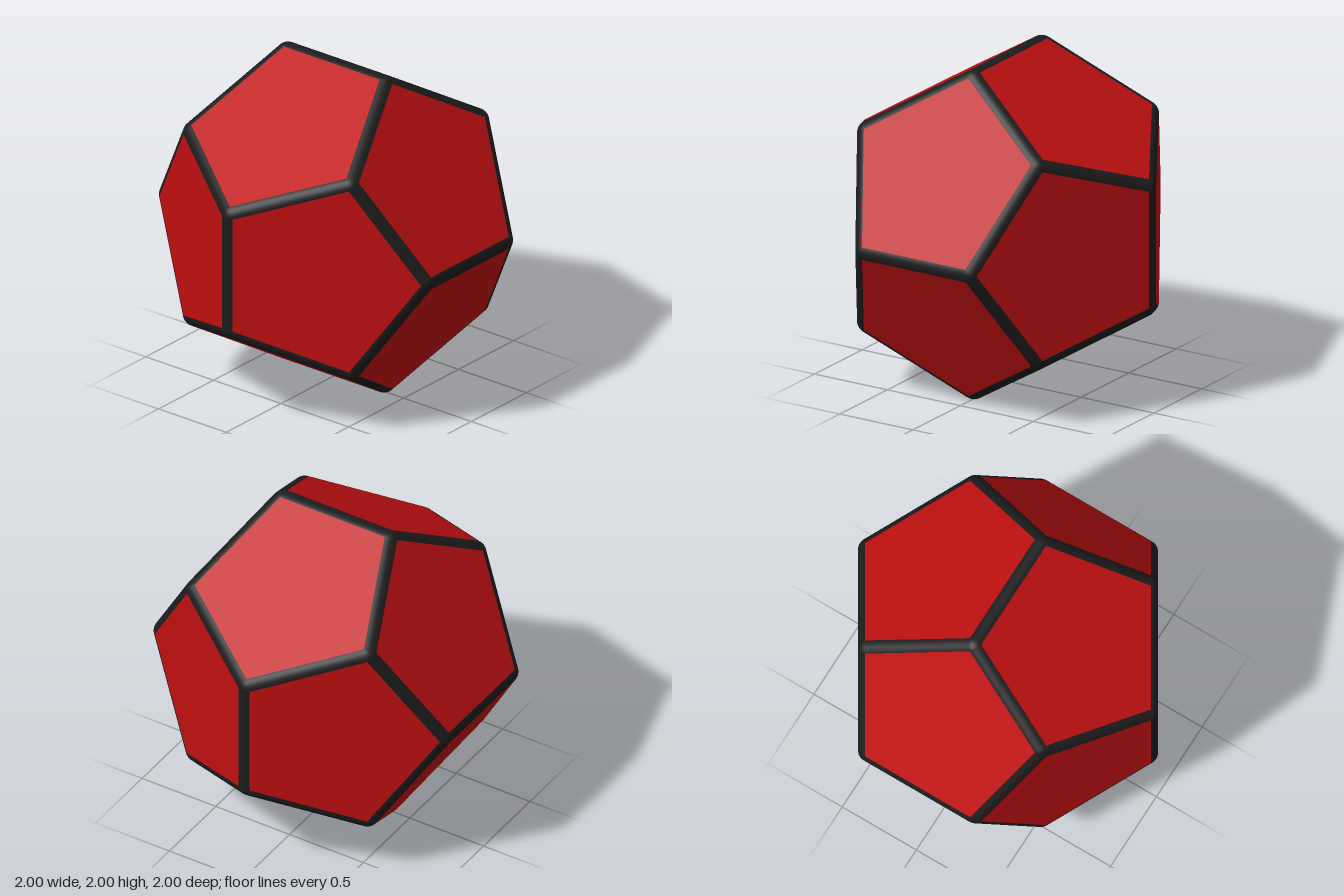
import * as THREE from 'three';

const PHI = (1 + Math.sqrt(5)) / 2;
const R = 0.072;      // rounding radius of the edges
const CORE = 1 - R;   // half-size of the solid that the rounding grows from
const STEPS = 6;      // segments across a rounded edge

// The three cyclic permutations of (0, u, v) with every sign
function cyclic(u, v) {
  const out = [];
  for (const p of [-u, u]) for (const q of [-v, v]) {
    out.push(new THREE.Vector3(0, p, q), new THREE.Vector3(q, 0, p), new THREE.Vector3(p, q, 0));
  }
  return out;
}

// Collects outward-facing triangles; each corner is { p: position, n: normal }
function makeSurface() {
  const pos = [], nor = [];
  return {
    tri(a, b, c) {
      const cross = b.p.clone().sub(a.p).cross(c.p.clone().sub(a.p));
      const order = cross.dot(a.n) < 0 ? [a, c, b] : [a, b, c];
      for (const k of order) {
        pos.push(k.p.x, k.p.y, k.p.z);
        nor.push(k.n.x, k.n.y, k.n.z);
      }
    },
    mesh(name, material) {
      const g = new THREE.BufferGeometry();
      g.setAttribute('position', new THREE.Float32BufferAttribute(pos, 3));
      g.setAttribute('normal', new THREE.Float32BufferAttribute(nor, 3));
      const m = new THREE.Mesh(g, material);
      m.name = name;
      return m;
    },
  };
}

// Point of the rounded surface around a core vertex, in direction n
const lift = (v, n) => ({ p: v.clone().addScaledVector(n, R), n });

export function createModel() {
  const group = new THREE.Group();
  group.name = 'twelveSidedDie';
  const red = new THREE.MeshStandardMaterial({ color: 0xc01010 });
  const black = new THREE.MeshStandardMaterial({ color: 0x1c1c1c });

  // Core dodecahedron: 20 vertices and 12 face normals
  const vertices = cyclic(1, 1 / PHI ** 2);
  for (const x of [-1, 1]) for (const y of [-1, 1]) for (const z of [-1, 1]) {
    vertices.push(new THREE.Vector3(x, y, z).divideScalar(PHI));
  }
  vertices.forEach((v) => v.multiplyScalar(CORE));
  const normals = cyclic(1 / PHI, 1).map((n) => n.normalize());
  const faceDistance = Math.max(...vertices.map((v) => v.dot(normals[0])));
  const touches = (v, n) => Math.abs(v.dot(n) - faceDistance) < 1e-4;

  // Flat pentagon faces
  normals.forEach((n, i) => {
    const surface = makeSurface();
    const ring = vertices.filter((v) => touches(v, n));
    const centre = n.clone().multiplyScalar(faceDistance);
    const xAxis = ring[0].clone().sub(centre).normalize();
    const yAxis = n.clone().cross(xAxis);
    const angle = (v) => Math.atan2(v.dot(yAxis), v.dot(xAxis));
    ring.sort((a, b) => angle(a) - angle(b));
    ring.forEach((v, k) => surface.tri(lift(centre, n), lift(v, n), lift(ring[(k + 1) % 5], n)));
    group.add(surface.mesh(`face${i + 1}`, red));
  });

  // Rounded strips along the 30 edges
  const edges = makeSurface();
  vertices.forEach((a, i) => vertices.slice(i + 1).forEach((b) => {
    const shared = normals.filter((n) => touches(a, n) && touches(b, n));
    if (shared.length !== 2) return;
    const blend = (t) => shared[0].clone().lerp(shared[1], t).normalize();
    for (let k = 0; k < STEPS; k++) {
      const n0 = blend(k / STEPS), n1 = blend((k + 1) / STEPS);
      edges.tri(lift(a, n0), lift(b, n0), lift(b, n1));
      edges.tri(lift(a, n0), lift(b, n1), lift(a, n1));
    }
  }));
  group.add(edges.mesh('roundedEdges', black));

  // Spherical patches at the 20 corners
  const corners = makeSurface();
  vertices.forEach((v) => {
    const [n0, n1, n2] = normals.filter((n) => touches(v, n));
    const at = (i, j) => lift(v, n0.clone().multiplyScalar(STEPS - i - j)
      .addScaledVector(n1, i).addScaledVector(n2, j).normalize());
    for (let i = 0; i < STEPS; i++) for (let j = 0; j < STEPS - i; j++) {
      corners.tri(at(i, j), at(i + 1, j), at(i, j + 1));
      if (i + j < STEPS - 1) corners.tri(at(i + 1, j), at(i + 1, j + 1), at(i, j + 1));
    }
  });
  group.add(corners.mesh('roundedCorners', black));

  // Stand the die on y = 0
  group.children.forEach((m) => { m.position.y = 1; });
  return group;
}
